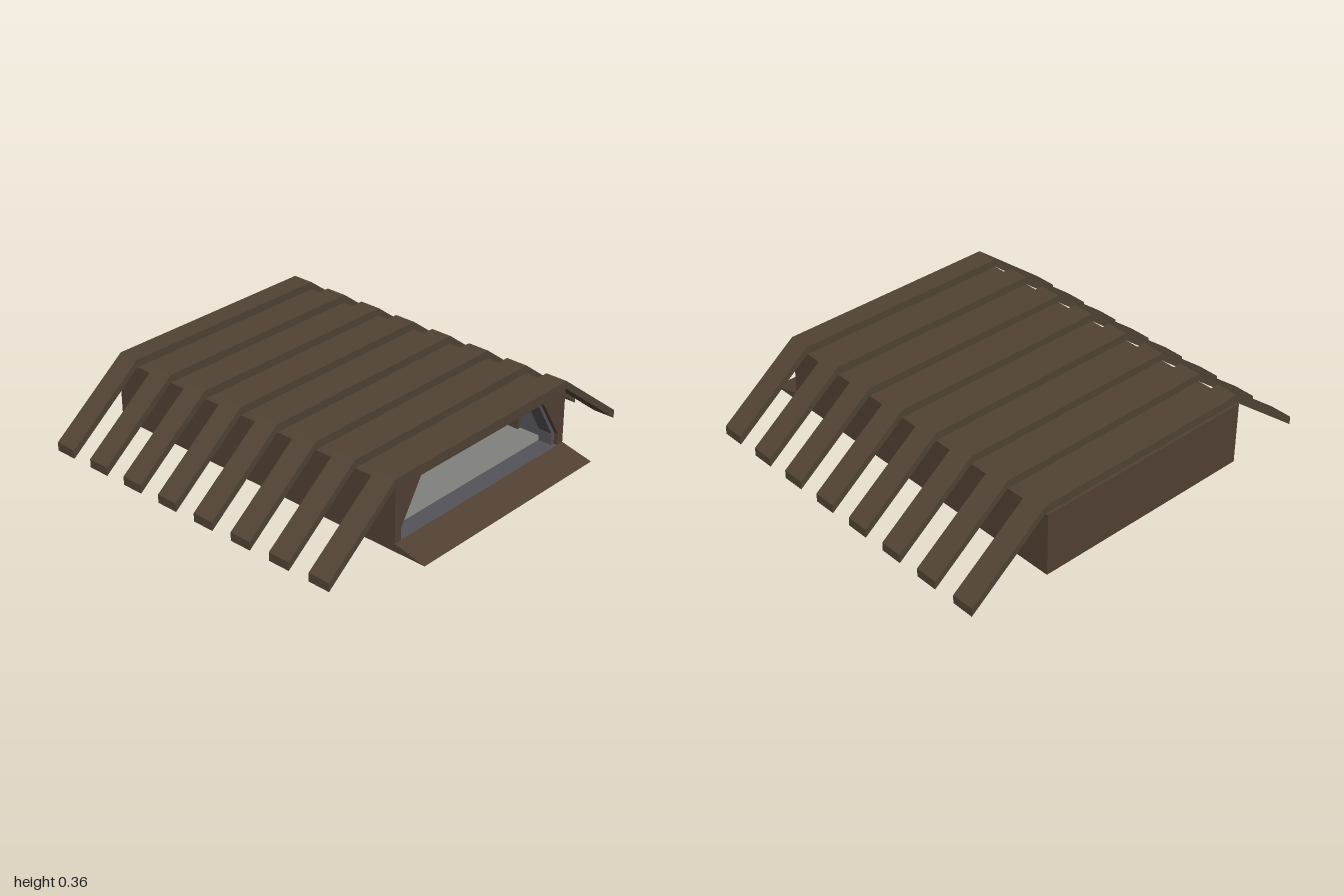
import * as THREE from 'three';

const mat = (name, color) => {
  const m = new THREE.MeshStandardMaterial({ color });
  m.name = name;
  return m;
};

export function createModel() {
  const beamBrown = mat('beam brown', 0x514335);
  const wallBrown = mat('wall brown', 0x524134);
  const lining = mat('blue grey lining', 0x53535a);
  const floorGrey = mat('floor grey', 0x80817d);
  const dark = mat('dark trim', 0x33302e);
  const group = new THREE.Group();

  const add = (name, geometry, material, x = 0, y = 0, z = 0) => {
    const mesh = new THREE.Mesh(geometry, material);
    mesh.name = name;
    mesh.position.set(x, y, z);
    group.add(mesh);
  };
  // box given by its limits
  const box = (name, material, x0, x1, y0, y1, z0, z1) =>
    add(name, new THREE.BoxGeometry(x1 - x0, y1 - y0, z1 - z0), material,
      (x0 + x1) / 2, (y0 + y1) / 2, (z0 + z1) / 2);
  const shapeOf = pts => new THREE.Shape(pts.map(p => new THREE.Vector2(...p)));
  const extrude = (shape, depth) => new THREE.ExtrudeGeometry(shape, { depth, bevelEnabled: false });

  const W = 0.59, H = 0.32, FRONT = 0.783, BACK = -0.95, SILL = 0.69, FLOOR = 0.04;
  const IN = W - 0.02;

  // outer shell
  for (const s of [-1, 1]) {
    add('sideWall', new THREE.BoxGeometry(0.02, H, FRONT - 0.02 - BACK), wallBrown,
      s * (W - 0.01), H / 2, (FRONT - 0.02 + BACK) / 2);
  }
  box('backWall', wallBrown, -IN, IN, 0, H, BACK, BACK + 0.02);
  box('roof', beamBrown, -IN, IN, H - 0.012, H, BACK + 0.02, FRONT - 0.02);

  // front frame around the chamfered doorway
  const frame = shapeOf([[-W, 0], [-IN, 0], [-IN, FLOOR], [-0.55, FLOOR], [-0.55, 0.1], [-0.425, 0.305],
    [0.425, 0.305], [0.55, 0.1], [0.55, FLOOR], [IN, FLOOR], [IN, 0], [W, 0], [W, H], [-W, H]]);
  add('frontFrame', extrude(frame, 0.02), wallBrown, 0, 0, FRONT - 0.02);

  // grey reveal panels set slightly inside the doorway on each side
  for (const s of [-1, 1]) {
    const panel = shapeOf([[s * IN, FLOOR], [s * 0.53, FLOOR], [s * 0.53, 0.1], [s * 0.41, 0.305], [s * IN, 0.305]]);
    add('doorwayReveal', extrude(panel, FRONT - 0.021 - SILL), lining, 0, 0, SILL);
  }

  // entrance ramp: wedge profile swept across the width
  const ramp = extrude(shapeOf([[0, 0], [0.95 - FRONT, 0], [0, FLOOR]]), 2 * W);
  ramp.rotateY(-Math.PI / 2);
  add('entranceRamp', ramp, wallBrown, W, 0, FRONT);

  // bent roof beams reaching down to the ground, with posts against the inner walls
  const beam = shapeOf([[-1, 0.002], [-W, H], [W, H], [1, 0.002],
    [1, 0.045], [W, 0.36], [-W, 0.36], [-1, 0.045]]);
  for (let i = 0; i < 8; i++) {
    const z = -0.935 + i * 0.2295;
    add('roofBeam', extrude(beam, 0.115), beamBrown, 0, 0, z);
    if (i === 0 || i === 7) continue;
    for (const s of [-1, 1]) {
      add('innerPost', new THREE.BoxGeometry(0.02, 0.268, 0.113), beamBrown, s * 0.556, 0.174, z + 0.0565);
    }
  }

  // raised floor slab, and the threshold level with the top of the ramp
  box('floor', floorGrey, -IN, IN, 0, FLOOR, BACK + 0.02, SILL);
  box('threshold', lining, -IN, IN, 0, FLOOR, SILL, FRONT);

  // inner lining of the end and side walls
  box('innerEndWall', lining, -IN, IN, FLOOR, 0.308, BACK + 0.02, BACK + 0.026);
  for (const s of [-1, 1]) {
    add('innerSideLining', new THREE.BoxGeometry(0.004, 0.268, SILL - BACK - 0.03), lining,
      s * 0.568, 0.174, (SILL + BACK + 0.03) / 2);
  }
  box('ceilingStrip', dark, -0.24, 0.24, 0.292, 0.304, -0.7, 0.55);

  return group;
}
